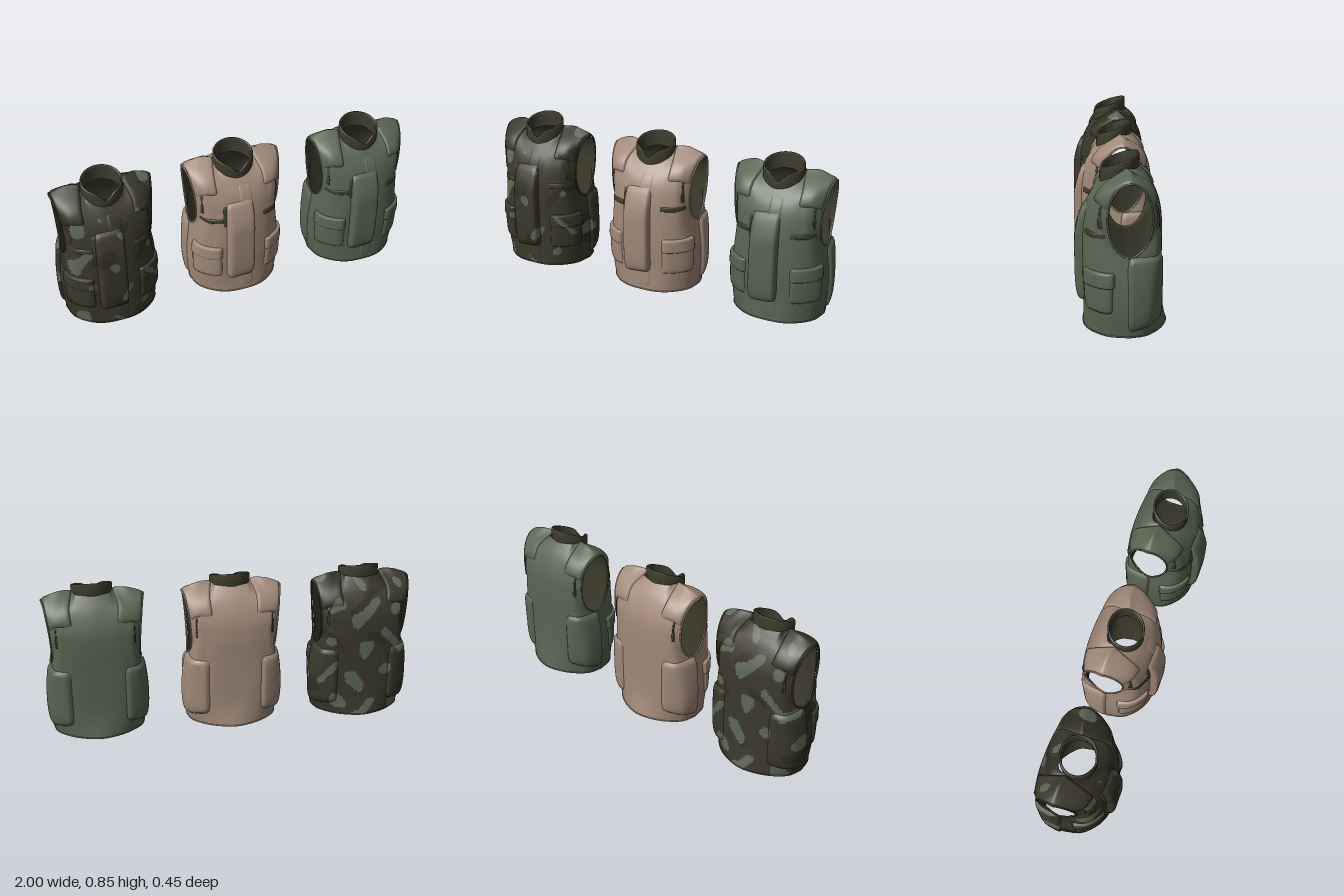
import * as THREE from 'three';
import { mergeGeometries, mergeVertices } from 'three/addons/utils/BufferGeometryUtils.js';

const V = (x, y, z) => new THREE.Vector3(x, y, z);
const lerp = THREE.MathUtils.lerp;
const mat = (name, color) => Object.assign(new THREE.MeshStandardMaterial({ color }), { name });
const spline = points => new THREE.CatmullRomCurve3(points.map(p => V(...p)), false, 'catmullrom');

// Columns run from hem to shoulder, from the centre line outwards
const FRONT = [
  [[0, .005, .183], [0, .12, .178], [0, .25, .184], [0, .40, .185], [0, .52, .18], [0, .62, .158], [0, .68, .122], [0, .715, .095]],
  [[.09, .005, .174], [.09, .12, .174], [.09, .25, .182], [.085, .40, .182], [.08, .52, .175], [.08, .62, .152], [.085, .69, .11], [.085, .745, .055]],
  [[.165, .005, .135], [.165, .12, .15], [.165, .25, .158], [.155, .40, .16], [.145, .52, .155], [.145, .62, .136], [.14, .71, .09], [.105, .785, -.02]],
  [[.227, .005, .065], [.234, .12, .08], [.234, .25, .088], [.214, .40, .108], [.197, .52, .122], [.197, .62, .115], [.2, .71, .076], [.18, .787, -.035]],
];
const BACK = [
  [[0, .005, -.222], [0, .12, -.2], [0, .25, -.195], [0, .40, -.195], [0, .52, -.195], [0, .62, -.183], [0, .72, -.138], [0, .78, -.085]],
  [[.09, .005, -.203], [.09, .12, -.195], [.09, .25, -.193], [.085, .40, -.193], [.08, .52, -.193], [.08, .62, -.18], [.085, .72, -.133], [.085, .785, -.065]],
  [[.165, .005, -.165], [.165, .12, -.175], [.165, .25, -.178], [.16, .40, -.18], [.15, .52, -.182], [.145, .62, -.173], [.14, .72, -.126], [.105, .785, -.02]],
  [[.228, .005, -.105], [.24, .12, -.125], [.24, .25, -.13], [.222, .40, -.148], [.2, .52, -.165], [.2, .62, -.162], [.2, .71, -.122], [.18, .787, -.035]],
];

// Outer edge: side seam up to the armpit, then half of the oval armhole
const ARMPIT = 3 / 7;
const seam = spline([[.248, .005, -.03], [.262, .12, -.03], [.26, .25, -.03], [.243, .40, -.03]]);
const armhole = spline([[.243, 0, 0], [.232, 0, 0], [.235, 0, 0], [.25, 0, 0], [.267, 0, 0]]);
const edgeCurve = reach => ({
  getPoint(v) {
    if (v <= ARMPIT) return seam.getPoint(v / ARMPIT);
    const k = (v - ARMPIT) / (1 - ARMPIT), a = k * Math.PI;
    return V(armhole.getPoint(k).x, .578 - .178 * Math.cos(a), -.03 - .005 * k + reach * Math.sin(a));
  },
});

// Cloth surface: u crosses from -x to +x, v rises from hem to shoulder
function surface(columns, reach) {
  const curves = [...columns.map(spline), edgeCurve(reach)];
  const rows = new Map();
  return (u, v) => {
    if (!rows.has(v)) {
      const half = curves.map(c => c.getPoint(v));
      const mirrored = half.slice(1).reverse().map(p => V(-p.x, p.y, p.z));
      rows.set(v, new THREE.CatmullRomCurve3([...mirrored, ...half], false, 'catmullrom'));
    }
    return rows.get(v).getPoint(u);
  };
}

function grid(fn, nu, nv) {
  const pos = [], idx = [];
  for (let j = 0; j <= nv; j++) for (let i = 0; i <= nu; i++) pos.push(...fn(i / nu, j / nv).toArray());
  for (let j = 0; j < nv; j++) for (let i = 0; i < nu; i++) {
    const a = j * (nu + 1) + i, b = a + 1, c = a + nu + 1, d = c + 1;
    idx.push(a, b, d, a, d, c);
  }
  const g = new THREE.BufferGeometry();
  g.setAttribute('position', new THREE.Float32BufferAttribute(pos, 3));
  g.setIndex(idx);
  g.computeVertexNormals();
  return g;
}

const front = surface(FRONT, .102), back = surface(BACK, -.108);
function bodyGeometry(nu, nv) {
  const parts = [grid(front, nu, nv), grid((u, v) => back(1 - u, v), nu, nv)];
  parts.forEach(p => p.deleteAttribute('normal'));
  const g = mergeVertices(mergeGeometries(parts), 1e-4);
  g.computeVertexNormals();
  return g;
}

// Inner face of the cloth, set slightly inwards and turned over
function liningGeometry(body) {
  const g = body.clone(), p = g.attributes.position, n = g.attributes.normal;
  for (let i = 0; i < p.count; i++) {
    p.setXYZ(i, p.getX(i) - n.getX(i) * .006, p.getY(i) - n.getY(i) * .006, p.getZ(i) - n.getZ(i) * .006);
  }
  g.setIndex(Array.from(g.index.array).reverse());
  g.computeVertexNormals();
  return g;
}

// Padded panel with rounded corners; place(s, t) gives a cloth point and its outward direction
function panel(place, h, n = 24, m = n) {
  return grid((i, j) => {
    const a = i * 2 - 1, b = j * 2 - 1, edge = Math.max(Math.abs(a), Math.abs(b));
    const k = edge ? edge / Math.pow(Math.abs(a) ** 10 + Math.abs(b) ** 10, 1 / 10) : 1;
    const [p, out] = place((a * k + 1) / 2, (b * k + 1) / 2);
    return p.clone().addScaledVector(out, h * Math.sqrt(1 - edge ** 10) - .004);
  }, n, m);
}

// Camouflage: sort faces into three colour groups by a smooth pattern
function camouflage(source) {
  const g = source.clone(), p = g.attributes.position, idx = g.index.array, sets = [[], [], []];
  for (let i = 0; i < idx.length; i += 3) {
    const f = [idx[i], idx[i + 1], idx[i + 2]];
    const x = f.reduce((s, k) => s + p.getX(k), 0) / 3, y = f.reduce((s, k) => s + p.getY(k), 0) / 3;
    const z = f.reduce((s, k) => s + p.getZ(k), 0) / 3;
    const pale = Math.sin(36 * x + 1.6 * Math.sin(21 * y) + 1) + Math.sin(33 * y + 1.5 * Math.sin(25 * x + 1)) + .7 * Math.sin(27 * z + 9 * x);
    const dark = Math.sin(27 * x + 2 + 2 * Math.sin(17 * y + 1)) + Math.sin(24 * y + 4 + 1.5 * Math.sin(24 * x)) + .7 * Math.sin(20 * z + 2);
    sets[pale > 1.2 ? 2 : dark > .8 ? 1 : 0].push(...f);
  }
  g.setIndex(sets.flat());
  let start = 0;
  sets.forEach((s, k) => { g.addGroup(start, s.length, k); start += s.length; });
  return g;
}

function vestParts() {
  const cloth = [], trim = [];
  const coarse = bodyGeometry(36, 35), target = new THREE.Mesh(coarse), ray = new THREE.Raycaster();
  cloth.push(['body', bodyGeometry(72, 63)]);
  trim.push(['lining', liningGeometry(coarse)]);

  // Drop a point onto the cloth, sliding downwards where it would miss
  const drop = (x, y, z, out) => {
    for (let k = 0; k < 30; k++, y -= .008) {
      ray.set(V(x, y, z), out.clone().negate());
      const hit = ray.intersectObject(target)[0];
      if (hit) return [hit.point, out];
    }
    return [V(x * .4, y, z * .3), out];
  };
  const wrap = (side, a0, a1, y0, y1, slope = 0) => (s, t) => {
    const q = side > 0 ? s : 1 - s, a = side * lerp(a0, a1, q) * Math.PI / 180;
    return drop(Math.sin(a) * .6, lerp(y0 + slope * q, y1, t), Math.cos(a) * .6, V(Math.sin(a), 0, Math.cos(a)));
  };
  const flat = (face, x0, x1, y0, y1, shear = 0) => (s, t) => {
    const x = lerp(x0, x1, face > 0 ? s : 1 - s);
    return drop(x, lerp(y0, y1, t) + x * shear, face * .6, V(0, 0, face));
  };

  // Front closure, with the flap thinning towards its top
  cloth.push(['placket', panel(flat(1, -.02, .058, .015, .69), .008, 10, 40)]);
  const flap = flat(1, -.1, .057, .11, .605, .08);
  cloth.push(['frontFlap', panel((s, t) => {
    const [p, out] = flap(s, t);
    return [p, out.multiplyScalar(1 - .5 * THREE.MathUtils.smoothstep(t, .65, 1))];
  }, .043, 24, 44)]);
  trim.push(['flapFastener', panel(flat(1, -.116, -.08, .455, .588), .009, 6, 12)]);

  for (const side of [1, -1]) {
    const span = (x0, x1) => side > 0 ? [x0, x1] : [-x1, -x0];
    // Cargo pockets and wraparound side panels
    cloth.push(['cargoPocket', panel(wrap(side, 35, 80, .118, .30), .015)]);
    cloth.push(['pocketFlap', panel(wrap(side, 34, 82, .245, .325), .021)]);
    cloth.push(['sidePanel', panel(wrap(side, 95, 143, .025, .402, .05), .022)]);
    // Shoulder pads, running from chest over the shoulder to the back
    cloth.push(['shoulderPad', panel((s, t) => {
      const inner = .75 - (t < .5 ? .04 : .07) * Math.abs(2 * t - 1);
      const q = side > 0 ? lerp(inner, .998, s) : lerp(.002, 1 - inner, s);
      const p = t < .5 ? front(q, .75 + .5 * t) : back(q, 1.25 - .5 * t);
      return [p, p.clone().sub(V(p.x * .85, .6, -.035)).normalize()];
    }, .015, 20, 36)]);
    // Chest webbing and hanging cords
    trim.push(['chestWebbing', panel(flat(1, ...span(.105, .222), .481, .51), .009, 10, 8)]);
    for (const [face, x] of [[1, .211], [-1, .204]]) {
      trim.push(['cord', panel(flat(face, ...span(x - .004, x + .004), .565, .65), .009, 6, 8)]);
      trim.push(['cordTab', panel(flat(face, ...span(x - .006, x + .006), .527, .585), .012, 6, 8)]);
    }
    // Rolled armhole edge
    const u = side > 0 ? 1 : 0, hole = [];
    for (let i = 0; i < 24; i++) hole.push(front(u, lerp(ARMPIT, 1, i / 24)));
    for (let i = 0; i < 24; i++) hole.push(back(u, lerp(1, ARMPIT, i / 24)));
    cloth.push(['armholeEdge', new THREE.TubeGeometry(new THREE.CatmullRomCurve3(hole, true), 72, .005, 6, true)]);
  }

  // Rolled hem
  const hem = [];
  for (let i = 0; i < 24; i++) hem.push(front(i / 24, 0));
  for (let i = 0; i < 24; i++) hem.push(back(1 - i / 24, 0));
  cloth.push(['hem', new THREE.TubeGeometry(new THREE.CatmullRomCurve3(hem, true), 80, .004, 6, true)]);

  // Stand-up collar, higher at the back and dipping at the throat
  const profile = [[.107, 0], [.109, .5], [.109, .93], [.106, 1], [.1, 1], [.097, .93], [.097, .4], [.097, -.1]];
  trim.push(['collar', mergeVertices(grid((u, v) => {
    const a = (u * 2 - 1) * Math.PI, [r, f] = profile[Math.round(v * 7)], c = Math.cos(a);
    const throat = Math.exp(-((a / .32) ** 2));
    const y = lerp(.742 - .026 * c - .012 * throat, .816 - .031 * c - .038 * throat, f);
    return V(Math.sin(a) * r, y, .007 + c * (r - .014));
  }, 48, 7), 1e-4)]);
  return { cloth, trim };
}

export function createModel() {
  const model = new THREE.Group();
  model.name = 'vestSet';
  const dark = mat('darkOliveTrim', 0x3e3d2d);
  const camo = [mat('camoOlive', 0x3b392b), mat('camoBrown', 0x312f24), mat('camoGreyGreen', 0x5d6756)];
  const { cloth, trim } = vestParts();
  const vests = [
    ['camouflageVest', -.725, camo],
    ['tanVest', -.01, mat('tanCloth', 0xa08979)],
    ['greenVest', .725, mat('greenCloth', 0x5a6452)],
  ];
  for (const [name, x, material] of vests) {
    const vest = new THREE.Group();
    vest.name = name;
    vest.position.x = x;
    const add = (part, geometry, m) => {
      const mesh = new THREE.Mesh(geometry, m);
      mesh.name = part;
      vest.add(mesh);
    };
    cloth.forEach(([part, g]) => add(part, material === camo ? camouflage(g) : g, material));
    trim.forEach(([part, g]) => add(part, g, dark));
    model.add(vest);
  }
  return model;
}
